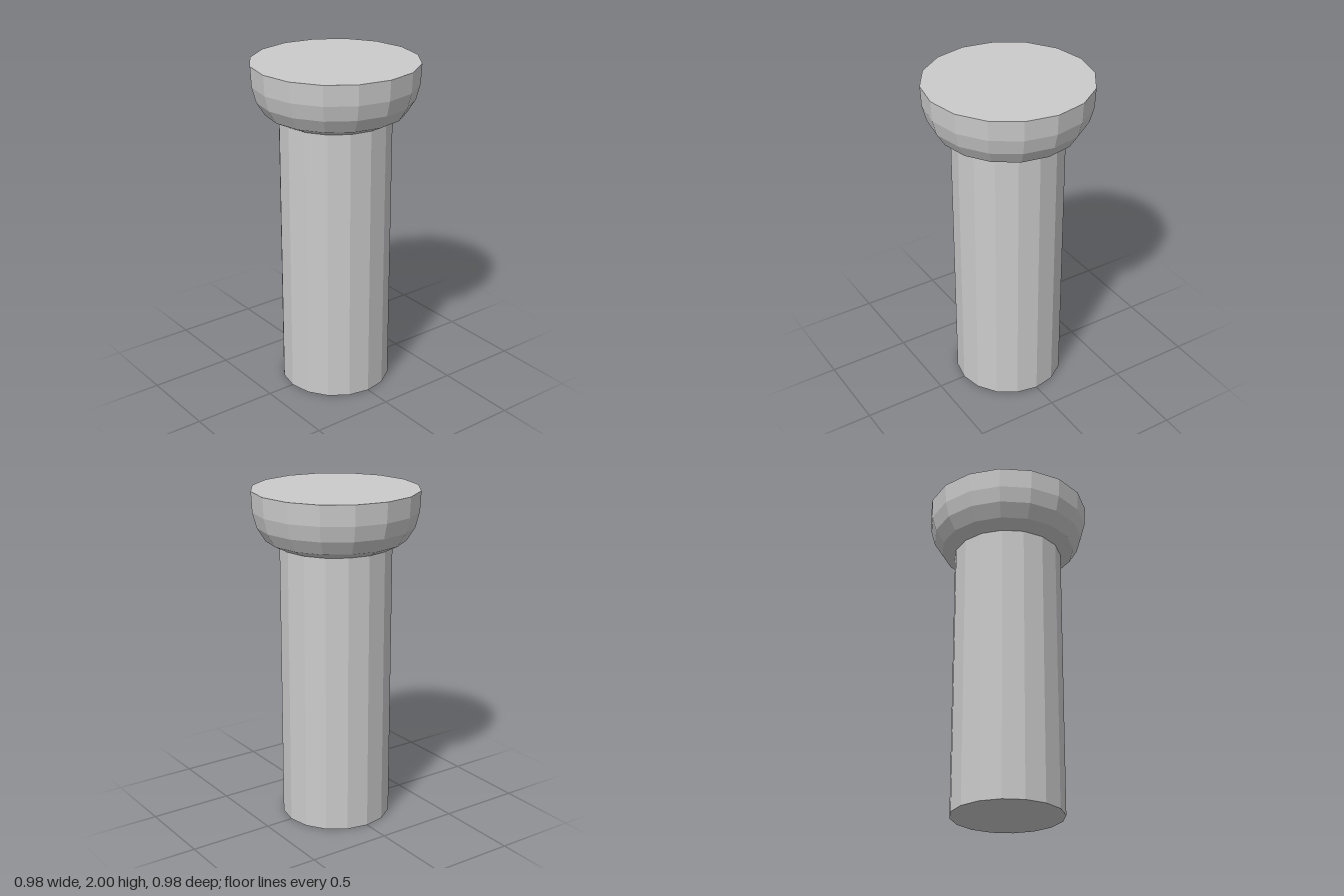
import * as THREE from 'three';

const SIDES = 16;
const SHAFT_RADIUS = 0.33;
const HEAD_BASE = 1.67;

export function createModel() {
  const group = new THREE.Group();
  const material = new THREE.MeshStandardMaterial({ color: 0xcccccc, flatShading: true });

  const add = (name, geometry) => {
    const mesh = new THREE.Mesh(geometry, material);
    mesh.name = name;
    group.add(mesh);
    return mesh;
  };

  // Straight faceted shaft, closed at the foot
  add('shaft', new THREE.CylinderGeometry(SHAFT_RADIUS, SHAFT_RADIUS, HEAD_BASE, SIDES))
    .position.y = HEAD_BASE / 2;

  // Bowl-shaped head with a flat top
  const profile = [
    [SHAFT_RADIUS, HEAD_BASE],
    [0.41, 1.71],
    [0.46, 1.79],
    [0.484, 1.88],
    [0.49, 2],
    [0, 2],
  ].map(([r, y]) => new THREE.Vector2(r, y));
  add('head', new THREE.LatheGeometry(profile, SIDES));

  return group;
}
